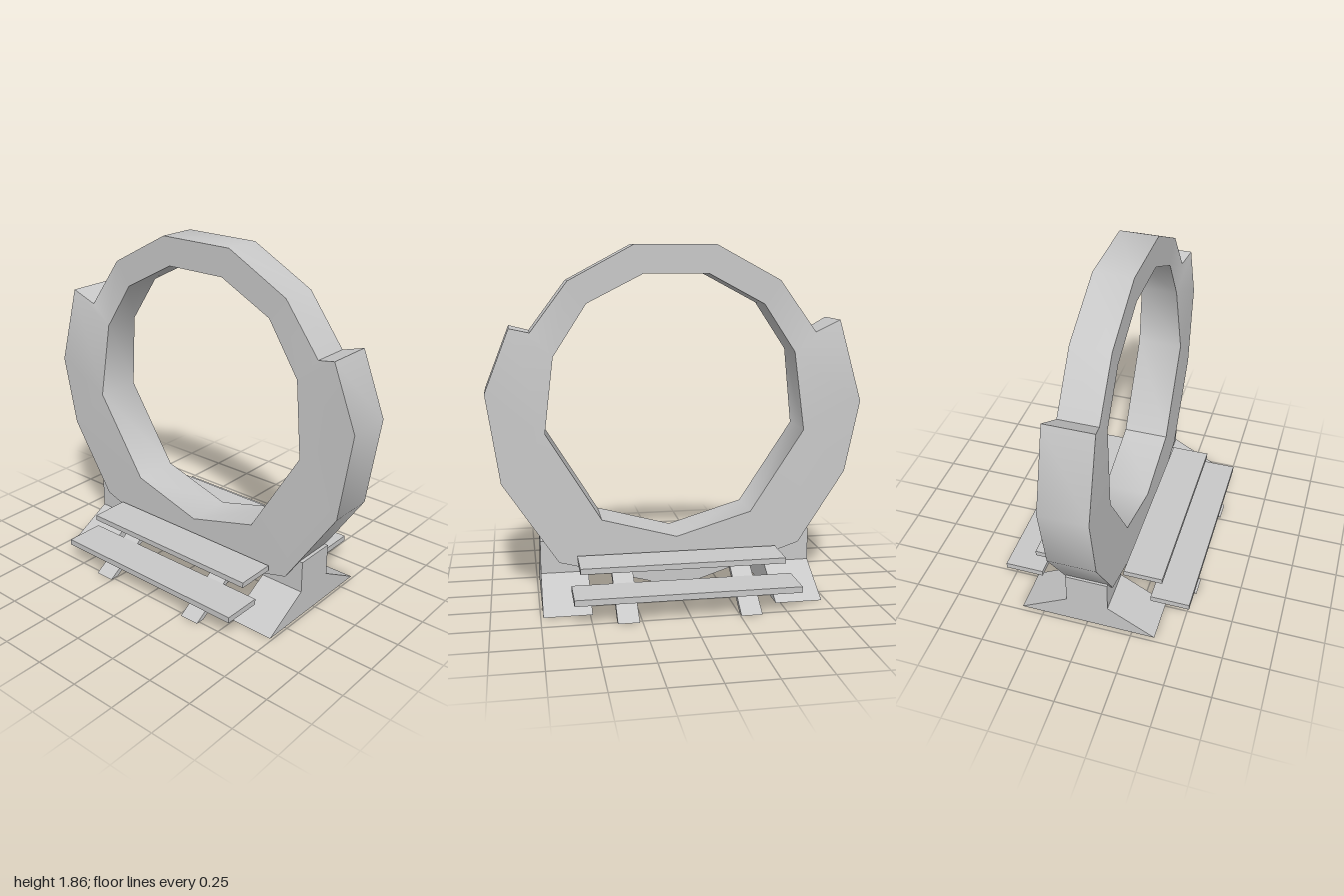
import * as THREE from 'three';
import { toCreasedNormals } from 'three/addons/utils/BufferGeometryUtils.js';

const stone = new THREE.MeshStandardMaterial({ color: 0xc8c8c8 });
stone.name = 'pale grey stone';

// Ring cross-sections, counterclockwise: [outer x, y, half depth, inner x, y, half depth]
const A = 0.102, C = 0.127;
const sections = [
  [-0.75, 1.40, A, -0.635, 1.295, A],   // left notch
  [-0.875, 1.465, C, -0.635, 1.295, A],
  [-1.0, 1.025, C, -0.685, 0.875, C],   // thick cradle
  [-0.92, 0.64, C, -0.685, 0.875, C],
  [-0.665, 0.25, C, -0.395, 0.435, C],
  [0, 0.033, C, 0.01, 0.315, C],
  [0.64, 0.203, C, 0.412, 0.425, C],
  [0.93, 0.64, C, 0.70, 0.895, C],
  [1.0, 1.11, C, 0.70, 0.895, C],
  [0.87, 1.44, C, 0.65, 1.29, A],
  [0.765, 1.415, A, 0.65, 1.29, A],     // right notch
  [0.57, 1.675, A, 0.475, 1.56, A],     // slim arch
  [0.225, 1.86, A, 0.18, 1.71, A],
  [-0.205, 1.86, A, -0.165, 1.71, A],
  [-0.55, 1.675, A, -0.465, 1.55, A],
];

function ringGeometry() {
  const loops = sections.map(([ox, oy, oz, ix, iy, iz]) => [
    new THREE.Vector3(ox, oy, oz), new THREE.Vector3(ix, iy, iz),
    new THREE.Vector3(ix, iy, -iz), new THREE.Vector3(ox, oy, -oz),
  ]);
  const positions = [];
  const tri = (a, b, c) => {
    if (a.equals(b) || b.equals(c) || c.equals(a)) return; // shared corners
    for (const v of [a, b, c]) positions.push(v.x, v.y, v.z);
  };
  loops.forEach((p, i) => {
    const q = loops[(i + 1) % loops.length];
    for (let k = 0; k < 4; k++) {
      const n = (k + 1) % 4;
      tri(p[k], q[k], q[n]);
      tri(p[k], q[n], p[n]);
    }
  });
  const g = new THREE.BufferGeometry();
  g.setAttribute('position', new THREE.Float32BufferAttribute(positions, 3));
  return toCreasedNormals(g, 0.72);
}

// Side profile of [z, y] points, extruded from x0 to x1
function prism(points, x0, x1) {
  const shape = new THREE.Shape(points.map(([z, y]) => new THREE.Vector2(z, y)));
  const g = new THREE.ExtrudeGeometry(shape, { depth: x1 - x0, bevelEnabled: false });
  g.rotateY(-Math.PI / 2);
  g.translate(x1, 0, 0);
  return g;
}

export function createModel() {
  const model = new THREE.Group();
  const add = (name, geometry, parent = model) => {
    const mesh = new THREE.Mesh(geometry, stone);
    mesh.name = name;
    parent.add(mesh);
  };

  add('ring', ringGeometry());

  // Splayed feet holding the ring
  const foot = [[-0.375, 0], [0.375, 0], [0.115, 0.145], [0.115, 0.32], [-0.115, 0.32], [-0.115, 0.145]];
  add('rightFoot', prism(foot, -0.725, -0.475));
  add('leftFoot', prism(foot, 0.487, 0.737));

  // Two-tread stairs, front and back
  for (const s of [1, -1]) {
    const stairs = new THREE.Group();
    stairs.name = s > 0 ? 'frontStairs' : 'backStairs';
    const rect = (z0, z1, y0, y1) => [[s * z0, y0], [s * z1, y0], [s * z1, y1], [s * z0, y1]];
    add('lowerTread', prism(rect(0.31, 0.524, 0.105, 0.137), -0.573, 0.589), stairs);
    add('upperTread', prism(rect(0.146, 0.361, 0.21, 0.24), -0.53, 0.546), stairs);
    const leg = [[s * 0.47, 0], [s * 0.52, 0], [s * 0.195, 0.21], [s * 0.146, 0.21]];
    for (const x of [-0.31, 0.32]) add('stairSupport', prism(leg, x - 0.055, x + 0.055), stairs);
    model.add(stairs);
  }
  return model;
}
